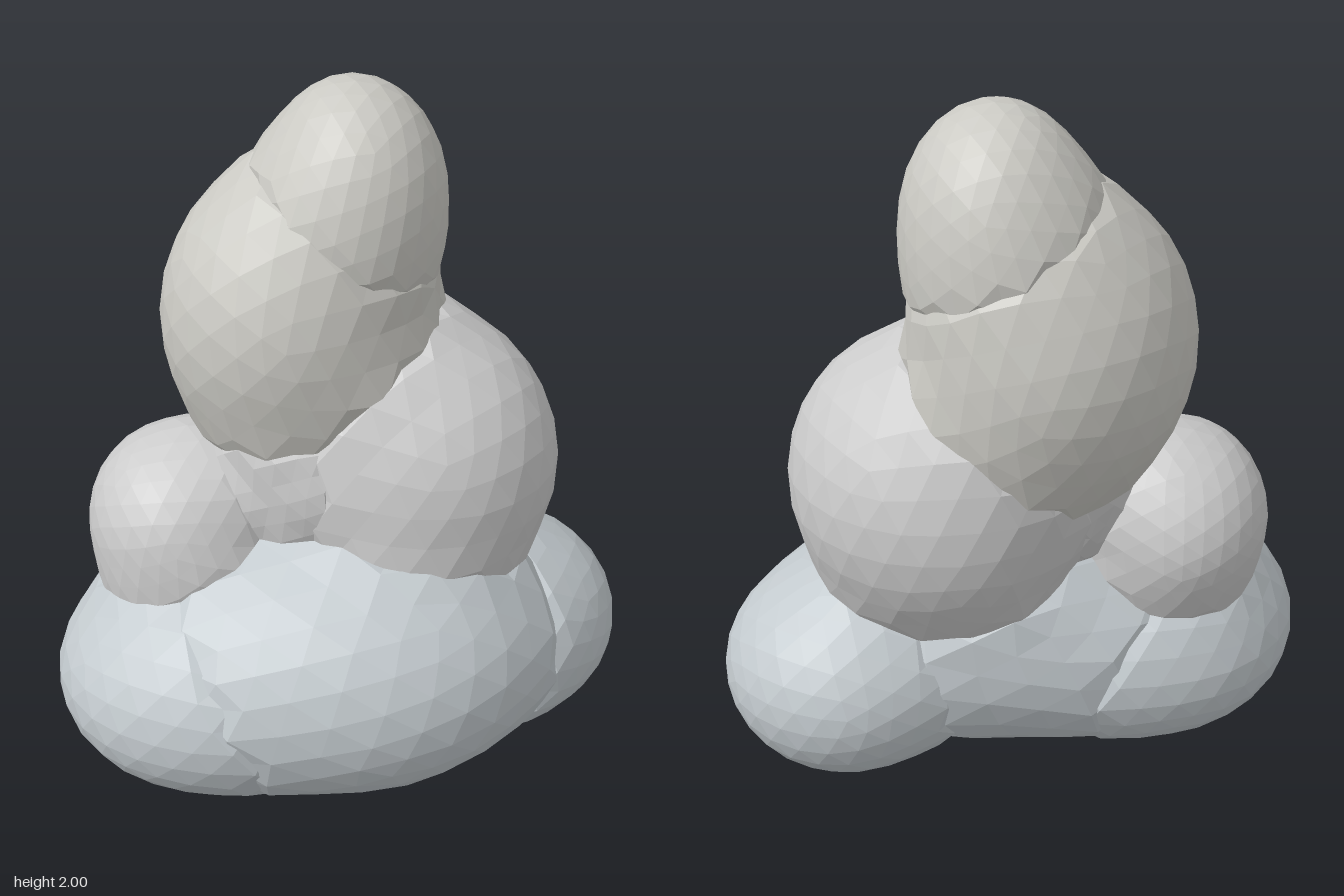
import * as THREE from 'three';

const BLEND = 0.16; // width of the soft fillet where lobes meet
const UP = new THREE.Vector3(0, 1, 0);
const coolGrey = new THREE.MeshStandardMaterial({ color: 0xc3cace, flatShading: true });
const paleGrey = new THREE.MeshStandardMaterial({ color: 0xc8cac9, flatShading: true });
const warmGrey = new THREE.MeshStandardMaterial({ color: 0xcbcac4, flatShading: true });

// name, centre, radii, yaw and colour of each rounded lobe in the pile
const lobes = [
  ['baseCentre', [0.0, 0.402, 0.08], [0.585, 0.395, 0.48], 0, coolGrey],
  ['baseLeftEnd', [0.46, 0.32, -0.135], [0.345, 0.295, 0.36], 0, coolGrey],
  ['baseRightEnd', [-0.395, 0.33, 0.06], [0.42, 0.315, 0.43], 0, coolGrey],
  ['sideLump', [-0.455, 0.745, -0.075], [0.253, 0.27, 0.282], 0, paleGrey],
  ['innerCore', [-0.12, 0.92, -0.08], [0.22, 0.26, 0.24], 0, paleGrey],
  ['middleLobe', [0.2, 0.905, -0.125], [0.42, 0.43, 0.39], -Math.PI / 4, paleGrey],
  ['upperLobe', [-0.11, 1.335, -0.185], [0.39, 0.445, 0.36], Math.PI / 4, warmGrey],
  ['topLobe', [0.04, 1.68, -0.18], [0.25, 0.32, 0.28], 0, warmGrey],
].map(([name, centre, radii, yaw, material]) => ({
  name, yaw, material, centre: new THREE.Vector3(...centre), radii: new THREE.Vector3(...radii),
}));

// Point in a lobe's own turned frame, as a fraction of its radii
const toLobe = ({ centre, radii, yaw }, point) =>
  point.clone().sub(centre).applyAxisAngle(UP, -yaw).divide(radii);

// Approximate signed distance from a point to the surface of a lobe
function distanceTo(lobe, point) {
  const scaled = toLobe(lobe, point);
  const k = scaled.length();
  return (k * (k - 1)) / scaled.divide(lobe.radii).length();
}

// Faceted ellipsoid that swells outward where it nears its neighbours
function buildLobe(lobe, turn) {
  const geometry = new THREE.IcosahedronGeometry(1, 4);
  geometry.rotateX(turn * 0.7).rotateY(turn * 1.3);
  geometry.scale(...lobe.radii.toArray()).rotateY(lobe.yaw).translate(...lobe.centre.toArray());
  const position = geometry.attributes.position;
  const point = new THREE.Vector3();
  for (let i = 0; i < position.count; i++) {
    point.fromBufferAttribute(position, i);
    const normal = toLobe(lobe, point).divide(lobe.radii).applyAxisAngle(UP, lobe.yaw).normalize();
    let swell = 0;
    for (const other of lobes) {
      if (other === lobe) continue;
      const near = Math.max(BLEND - Math.abs(distanceTo(other, point)), 0);
      swell = Math.max(swell, near ** 2 / (4 * BLEND));
    }
    point.addScaledVector(normal, swell);
    position.setXYZ(i, point.x, Math.max(point.y, 0), point.z);
  }
  geometry.computeVertexNormals();
  const mesh = new THREE.Mesh(geometry, lobe.material);
  mesh.name = lobe.name;
  return mesh;
}

export function createModel() {
  const group = new THREE.Group();
  group.name = 'lumpyPile';
  lobes.forEach((lobe, i) => group.add(buildLobe(lobe, i + 1)));
  return group;
}
